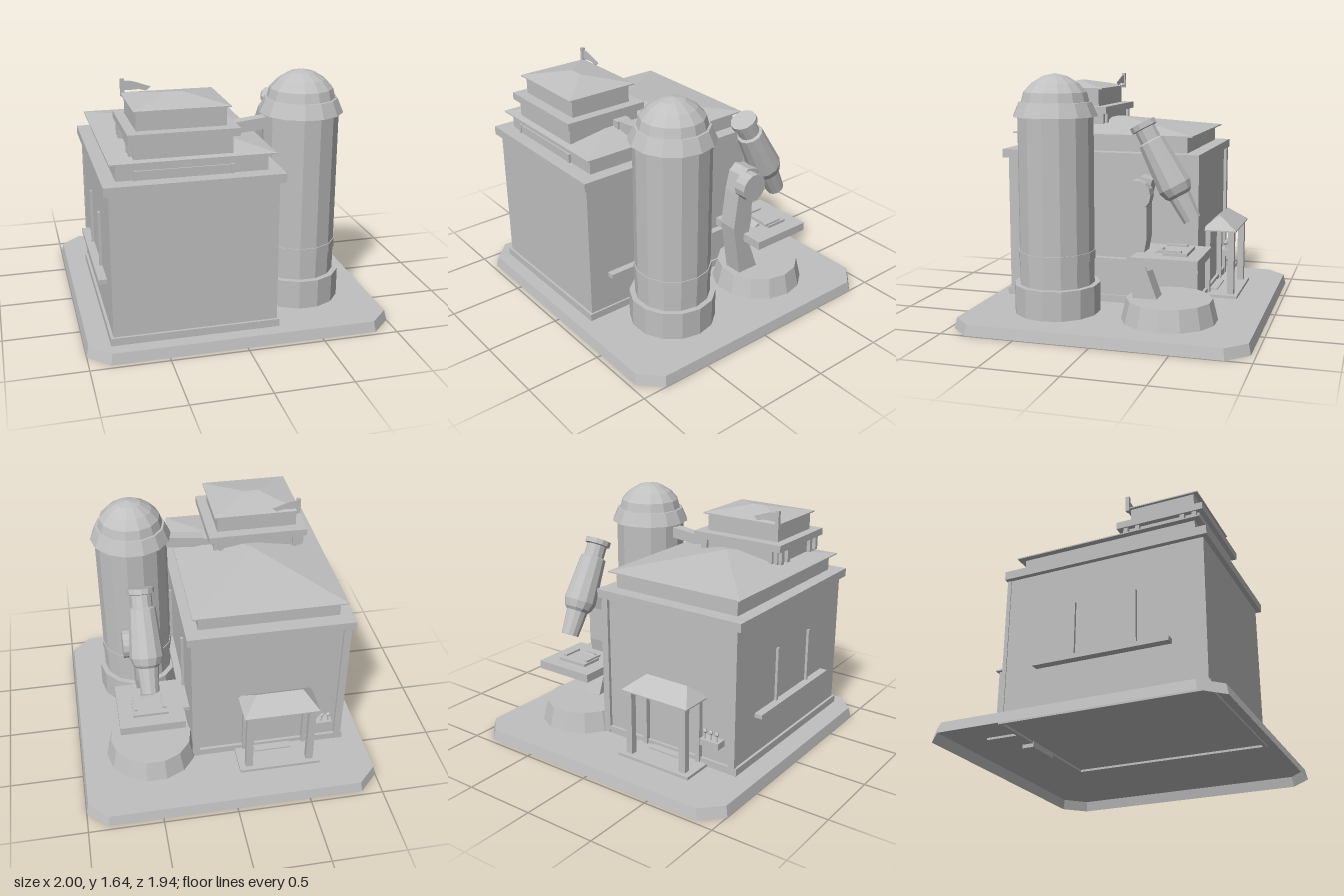
import * as THREE from 'three';
import { ConvexGeometry } from 'three/addons/geometries/ConvexGeometry.js';

const stone = new THREE.MeshStandardMaterial({ color: 0xc0c0c0, side: THREE.DoubleSide });
stone.name = 'stoneGrey';

export function createModel() {
  const model = new THREE.Group();
  model.name = 'laboratory';

  const group = (name) => {
    const g = new THREE.Group();
    g.name = name;
    model.add(g);
    return g;
  };
  const add = (parent, name, geometry) => {
    const mesh = new THREE.Mesh(geometry, stone);
    mesh.name = name;
    parent.add(mesh);
    return mesh;
  };
  // Box given by its limits on each axis
  const box = (parent, name, x0, x1, y0, y1, z0, z1) => {
    const mesh = add(parent, name, new THREE.BoxGeometry(x1 - x0, y1 - y0, z1 - z0));
    mesh.position.set((x0 + x1) / 2, (y0 + y1) / 2, (z0 + z1) / 2);
    return mesh;
  };
  // Faceted turned shape from [radius, height] pairs
  const turned = (parent, name, profile, sides) => {
    const pts = profile.map(([r, y]) => new THREE.Vector2(r, y));
    const g = new THREE.LatheGeometry(pts, sides, Math.PI / 2).toNonIndexed();
    g.computeVertexNormals();
    return add(parent, name, g);
  };
  // Hipped roof: eave rectangle and a ridge along x
  const hipRoof = (parent, name, x0, x1, z0, z1, eave, top, r0, r1, rz, thick = 0.008) => {
    const pts = [];
    for (const x of [x0, x1]) for (const z of [z0, z1]) for (const y of [eave - thick, eave])
      pts.push(new THREE.Vector3(x, y, z));
    pts.push(new THREE.Vector3(r0, top, rz));
    if (r1 !== r0) pts.push(new THREE.Vector3(r1, top, rz));
    return add(parent, name, new ConvexGeometry(pts));
  };

  // Ground plate: open underneath, chamfered corners, sloping rim
  const ground = group('groundPlate');
  const octagon = (hx, hz, c) => [
    [hx, -hz + c], [hx, hz - c], [hx - c, hz], [-hx + c, hz],
    [-hx, hz - c], [-hx, -hz + c], [-hx + c, -hz], [hx - c, -hz]];
  const low = octagon(1, 0.968, 0.135), high = octagon(0.985, 0.953, 0.13);
  const verts = [];
  for (let i = 0; i < 8; i++) {
    const j = (i + 1) % 8;
    const a = [low[i][0], 0, low[i][1]], b = [low[j][0], 0, low[j][1]];
    const c = [high[j][0], 0.07, high[j][1]], d = [high[i][0], 0.07, high[i][1]];
    verts.push(...a, ...c, ...b, ...a, ...d, ...c, ...d, 0, 0.07, 0, ...c);
  }
  const plate = new THREE.BufferGeometry();
  plate.setAttribute('position', new THREE.Float32BufferAttribute(verts, 3));
  plate.computeVertexNormals();
  add(ground, 'plate', plate);

  // Main building
  const house = group('mainBuilding');
  box(house, 'walls', -0.83, 0.225, 0.07, 1.06, -0.485, 0.845);
  box(house, 'cornice', -0.863, 0.258, 1.05, 1.108, -0.513, 0.877);
  for (const [x0, x1] of [[-0.835, -0.785], [0.18, 0.23]])
    box(house, 'cornerPost', x0, x1, 0.07, 1.05, -0.507, -0.48);
  // Skirting, reaching just below the plate
  box(house, 'skirtingFront', -0.848, 0.238, 0.055, 0.12, 0.84, 0.862);
  box(house, 'skirtingBack', -0.848, 0.238, 0.055, 0.12, -0.505, -0.483);
  box(house, 'skirtingRight', -0.848, -0.826, 0.055, 0.12, -0.483, 0.84);
  box(house, 'skirtingLeft', 0.216, 0.238, 0.055, 0.12, -0.483, 0.84);
  box(house, 'attic', -0.775, 0.17, 1.1, 1.222, -0.415, 0.775);
  hipRoof(house, 'mainRoof', -0.815, 0.21, -0.457, 0.815, 1.225, 1.315, -0.305, -0.305, 0.178);
  box(house, 'frontPanel', -0.665, -0.05, 1.108, 1.165, 0.77, 0.785);
  for (const x of [-0.668, -0.07])
    box(house, 'panelPost', x, x + 0.022, 1.108, 1.168, 0.77, 0.792);

  // Shelves with upright bars on both side walls
  box(house, 'shelfRight', -0.885, -0.825, 0.385, 0.415, -0.265, 0.63);
  box(house, 'shelfLeft', 0.22, 0.273, 0.355, 0.387, -0.342, 0.705);
  for (const z of [-0.01, 0.4]) box(house, 'barRight', -0.848, -0.828, 0.415, 0.785, z - 0.01, z + 0.01);
  for (const z of [-0.1, 0.475]) box(house, 'barLeft', 0.222, 0.243, 0.387, 0.81, z - 0.01, z + 0.01);

  // Rooftop pavilion in two tiers
  const pavilion = group('pavilion');
  box(pavilion, 'lowerRoom', -0.665, -0.053, 1.18, 1.35, 0.24, 0.77);
  box(pavilion, 'balcony', -0.7, -0.015, 1.345, 1.393, 0.21, 0.802);
  box(pavilion, 'upperRoom', -0.637, -0.083, 1.39, 1.515, 0.285, 0.725);
  hipRoof(pavilion, 'pavilionRoof', -0.655, -0.06, 0.254, 0.755, 1.52, 1.568, -0.41, -0.31, 0.505);
  for (const z of [0.27, 0.35, 0.66, 0.74])
    box(pavilion, 'bracket', -0.69, -0.66, 1.25, 1.345, z - 0.015, z + 0.015);
  for (const x of [-0.62, -0.1])
    box(pavilion, 'backBracket', x - 0.015, x + 0.015, 1.25, 1.345, 0.22, 0.245);
  box(pavilion, 'flagPole', -0.655, -0.63, 1.5, 1.61, 0.253, 0.278);
  const flag = new THREE.Shape();
  flag.moveTo(-0.63, 1.595);
  flag.bezierCurveTo(-0.57, 1.6, -0.53, 1.57, -0.46, 1.55);
  flag.lineTo(-0.49, 1.525);
  flag.bezierCurveTo(-0.55, 1.55, -0.58, 1.53, -0.63, 1.535);
  add(pavilion, 'flag', new THREE.ExtrudeGeometry(flag, { depth: 0.006, bevelEnabled: false, curveSegments: 4 }))
    .position.z = 0.262;

  // Sloping passage between pavilion and tower
  const passage = box(pavilion, 'passage', -0.04, 0.29, 1.253, 1.328, 0.347, 0.425);
  passage.rotation.z = 0.11;
  box(pavilion, 'passageEnd', -0.055, 0.0, 1.235, 1.315, 0.335, 0.437);

  // Round tower with domed top
  const tower = group('tower');
  tower.position.set(0.505, 0, 0.387);
  turned(tower, 'plinth', [[0.286, 0.07], [0.286, 0.265], [0.24, 0.265]], 14);
  turned(tower, 'shaft', [[0.249, 0.2], [0.249, 1.38]], 14);
  turned(tower, 'band', [[0.245, 0.425], [0.255, 0.425], [0.255, 0.485], [0.245, 0.485]], 14);
  turned(tower, 'collar', [[0.2, 1.365], [0.278, 1.365], [0.238, 1.457], [0.2, 1.46]], 14);
  turned(tower, 'dome', [[0.224, 1.455], [0.207, 1.52], [0.153, 1.578], [0.08, 1.622], [0, 1.64]], 14);

  // Large microscope
  const scope = group('microscope');
  const cx = 0.507;
  turned(scope, 'foot', [[0.314, 0.07], [0.28, 0.21], [0, 0.21]], 14).position.set(cx, 0, -0.382);
  const arm = new THREE.Shape([
    [-0.155, 0.2], [-0.09, 0.58], [-0.12, 0.83], [-0.15, 0.96], [-0.2, 1.0], [-0.28, 0.98],
    [-0.245, 0.84], [-0.245, 0.6], [-0.22, 0.46], [-0.317, 0.2],
  ].map(([z, y]) => new THREE.Vector2(z, y)));
  const armMesh = add(scope, 'arm', new THREE.ExtrudeGeometry(arm, { depth: 0.13, bevelEnabled: false })
    .rotateY(-Math.PI / 2));
  armMesh.position.x = cx + 0.065;
  const knob = add(scope, 'focusKnob', new THREE.CylinderGeometry(0.096, 0.096, 0.09, 14).toNonIndexed());
  knob.geometry.computeVertexNormals();
  knob.rotation.z = Math.PI / 2;
  knob.position.set(0.6, 0.89, -0.193);
  box(scope, 'stage', 0.287, 0.722, 0.455, 0.513, -0.61, -0.182);
  box(scope, 'slide', 0.39, 0.625, 0.513, 0.532, -0.52, -0.365);
  for (const x of [0.4, 0.59])
    box(scope, 'slideClip', x, x + 0.025, 0.53, 0.545, -0.48, -0.34);
  box(scope, 'stageBrace', cx - 0.05, cx + 0.05, 0.41, 0.51, -0.36, -0.22).rotation.x = 0.4;
  const barrel = turned(scope, 'barrel', [
    [0, 0], [0.06, 0], [0.074, 0.17], [0.094, 0.19], [0.112, 0.24], [0.088, 0.555],
    [0.07, 0.565], [0.07, 0.645], [0.088, 0.65], [0.088, 0.685], [0, 0.685]], 12);
  barrel.position.set(cx, 0.73, -0.526);
  barrel.rotation.x = 0.502;

  // Back porch
  const porch = group('porch');
  box(porch, 'floor', -0.628, -0.067, 0.055, 0.09, -0.722, -0.5);
  hipRoof(porch, 'porchRoof', -0.605, -0.09, -0.705, -0.46, 0.545, 0.635, -0.515, -0.195, -0.572);
  for (const x of [-0.56, -0.135]) {
    box(porch, 'frontPost', x - 0.024, x + 0.024, 0.09, 0.545, -0.69, -0.645);
    box(porch, 'wallPost', x - 0.015, x + 0.015, 0.09, 0.545, -0.52, -0.48);
  }
  box(porch, 'doorStep', -0.46, -0.2, 0.03, 0.1, -0.56, -0.48);

  // Flower box beside the porch
  const planter = group('flowerBox');
  box(planter, 'trough', -0.745, -0.605, 0.245, 0.29, -0.56, -0.48);
  for (const x of [-0.72, -0.675, -0.63]) {
    box(planter, 'stem', x - 0.004, x + 0.004, 0.285, 0.34, -0.541, -0.533);
    add(planter, 'blossom', new THREE.IcosahedronGeometry(0.017, 0)).position.set(x, 0.342, -0.537);
  }

  return model;
}
